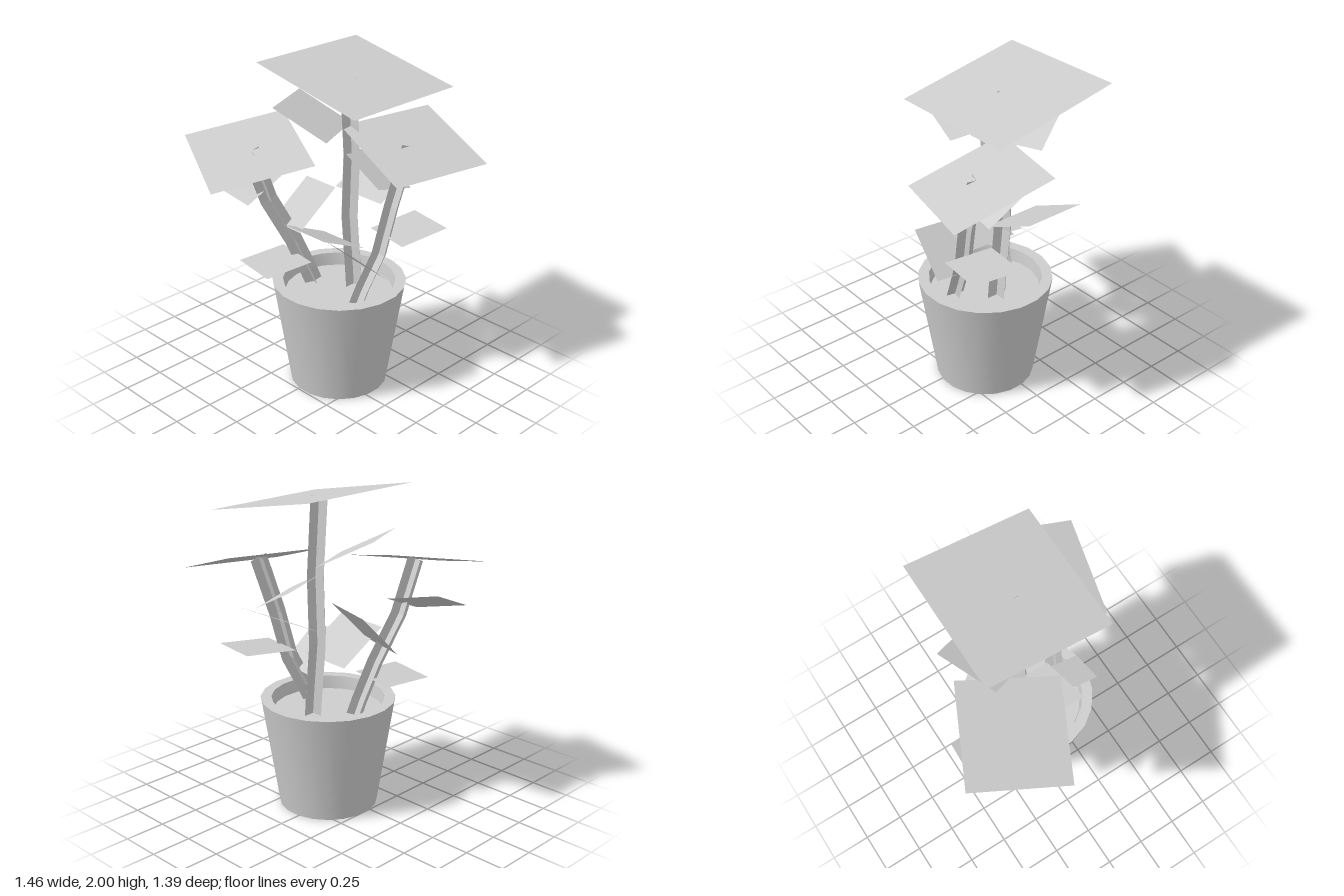
import * as THREE from 'three';
import { toCreasedNormals } from 'three/addons/utils/BufferGeometryUtils.js';

const grey = new THREE.MeshStandardMaterial({ color: 0xcccccc, side: THREE.DoubleSide });
grey.name = 'plain grey';

const V = (p) => new THREE.Vector3(...p);

function addMesh(parent, name, geometry) {
  const mesh = new THREE.Mesh(geometry, grey);
  mesh.name = name;
  parent.add(mesh);
  return mesh;
}

// Flat strip between two rows of points
function stripGeometry(left, right) {
  const pos = [];
  for (let i = 0; i < left.length - 1; i++) {
    const [a, b, c, d] = [left[i], right[i], right[i + 1], left[i + 1]];
    for (const p of [a, b, c, a, c, d]) pos.push(p.x, p.y, p.z);
  }
  const g = new THREE.BufferGeometry();
  g.setAttribute('position', new THREE.Float32BufferAttribute(pos, 3));
  g.computeVertexNormals();
  return g;
}

// Flat four-cornered leaf: two corners of the base edge and the outer corner beside the second
function addLeaf(parent, name, p, q, r) {
  const a = V(p), b = V(q), c = V(r);
  const d = a.clone().add(c).sub(b);
  // order the corners so that the upper face is the front
  const up = b.clone().sub(a).cross(c.clone().sub(b)).y > 0;
  addMesh(parent, name, up ? stripGeometry([a, d], [b, c]) : stripGeometry([b, c], [a, d]));
}

// Stem: two crossed ribbons following a bent path
function addStem(parent, name, path, yaw, width) {
  const stem = new THREE.Group();
  stem.name = name;
  const pts = path.map(V);
  const axis = pts[pts.length - 1].clone().sub(pts[0]).normalize();
  const across = new THREE.Vector3(Math.cos(yaw), 0, Math.sin(yaw));
  across.addScaledVector(axis, -across.dot(axis)).normalize();
  const depth = across.clone().cross(axis);
  for (const side of [across, depth]) {
    const edge = (s) => pts.map((p) => p.clone().addScaledVector(side, s * width / 2));
    addMesh(stem, 'stemRibbon', stripGeometry(edge(-1), edge(1)));
  }
  parent.add(stem);
}

export function createModel() {
  const model = new THREE.Group();
  model.name = 'pottedPlant';

  // Pot with a flat rim, and soil inside
  const pot = new THREE.Group();
  pot.name = 'pot';
  pot.position.set(0.06, 0, 0.045);
  const profile = [[0, 0], [0.302, 0], [0.407, 0.68], [0.342, 0.68], [0.33, 0.6]]
    .map(([x, y]) => new THREE.Vector2(x, y));
  const shell = new THREE.LatheGeometry(profile, 20, Math.PI / 20);
  addMesh(pot, 'potShell', toCreasedNormals(shell, Math.PI / 5));
  const soil = addMesh(pot, 'soil', new THREE.CircleGeometry(0.332, 20, Math.PI / 20));
  soil.rotation.x = -Math.PI / 2;
  soil.position.y = 0.6;
  model.add(pot);

  // Stems
  addStem(model, 'middleStem',
    [[0.178, 0.6, 0.055], [0.178, 0.69, 0.048], [0.178, 1.05, 0.013], [0.178, 1.46, 0.026], [0.178, 1.92, -0.008]], 0, 0.135);
  addStem(model, 'rightStem',
    [[0.025, 0.6, -0.14], [-0.01, 0.69, -0.15], [-0.1, 0.92, -0.19], [-0.235, 1.2, -0.25], [-0.335, 1.52, -0.285]], 0.35, 0.11);
  addStem(model, 'leftStem',
    [[0.01, 0.6, 0.24], [0.05, 0.69, 0.25], [0.15, 0.9, 0.285], [0.22, 1.19, 0.31], [0.335, 1.54, 0.335]], 0.24, 0.11);

  // Large leaves on the stem tips
  addLeaf(model, 'middleTopLeaf', [-0.2, 1.85, 0.41], [0.615, 1.85, 0.41], [0.615, 2, -0.37]);
  addLeaf(model, 'rightTopLeaf', [-0.73, 1.41, -0.165], [-0.19, 1.5, 0.1], [0.055, 1.64, -0.43]);
  addLeaf(model, 'leftTopLeaf', [0, 1.44, 0.545], [0.6, 1.46, 0.695], [0.73, 1.645, 0.13]);

  // Side leaves of the middle stem
  addLeaf(model, 'middleBackLeaf', [-0.02, 1.565, 0.015], [0.335, 1.565, -0.135], [0.2, 1.737, -0.44]);
  addLeaf(model, 'middleLeftLeaf', [0.25, 1.16, 0.2], [0.25, 1.16, -0.178], [0.613, 1.33, -0.178]);
  addLeaf(model, 'middleRightLeaf', [0.1, 0.925, 0.21], [0.11, 0.915, -0.138], [-0.24, 1.083, -0.112]);

  // Side leaves of the right stem
  addLeaf(model, 'rightBackLeaf', [-0.39, 1.205, -0.257], [-0.125, 1.315, -0.257], [-0.165, 1.393, -0.6]);
  addLeaf(model, 'rightInnerLeaf', [-0.165, 1.02, -0.06], [-0.12, 0.995, -0.35], [0.1, 1.245, -0.275]);
  addLeaf(model, 'rightLowLeaf', [-0.1, 0.815, -0.03], [-0.045, 0.808, -0.34], [-0.365, 0.798, -0.38]);

  // Side leaves of the left stem
  addLeaf(model, 'leftBackLeaf', [0.12, 1.32, 0.3], [0.4, 1.25, 0.3], [0.41, 1.41, -0.005]);
  addLeaf(model, 'leftOuterLeaf', [0.18, 0.985, 0.44], [0.23, 0.99, 0.14], [0.56, 1.022, 0.2]);
  addLeaf(model, 'leftInnerLeaf', [0.08, 0.8, 0.42], [0.12, 0.8, 0.135], [-0.13, 1.02, 0.105]);

  return model;
}
